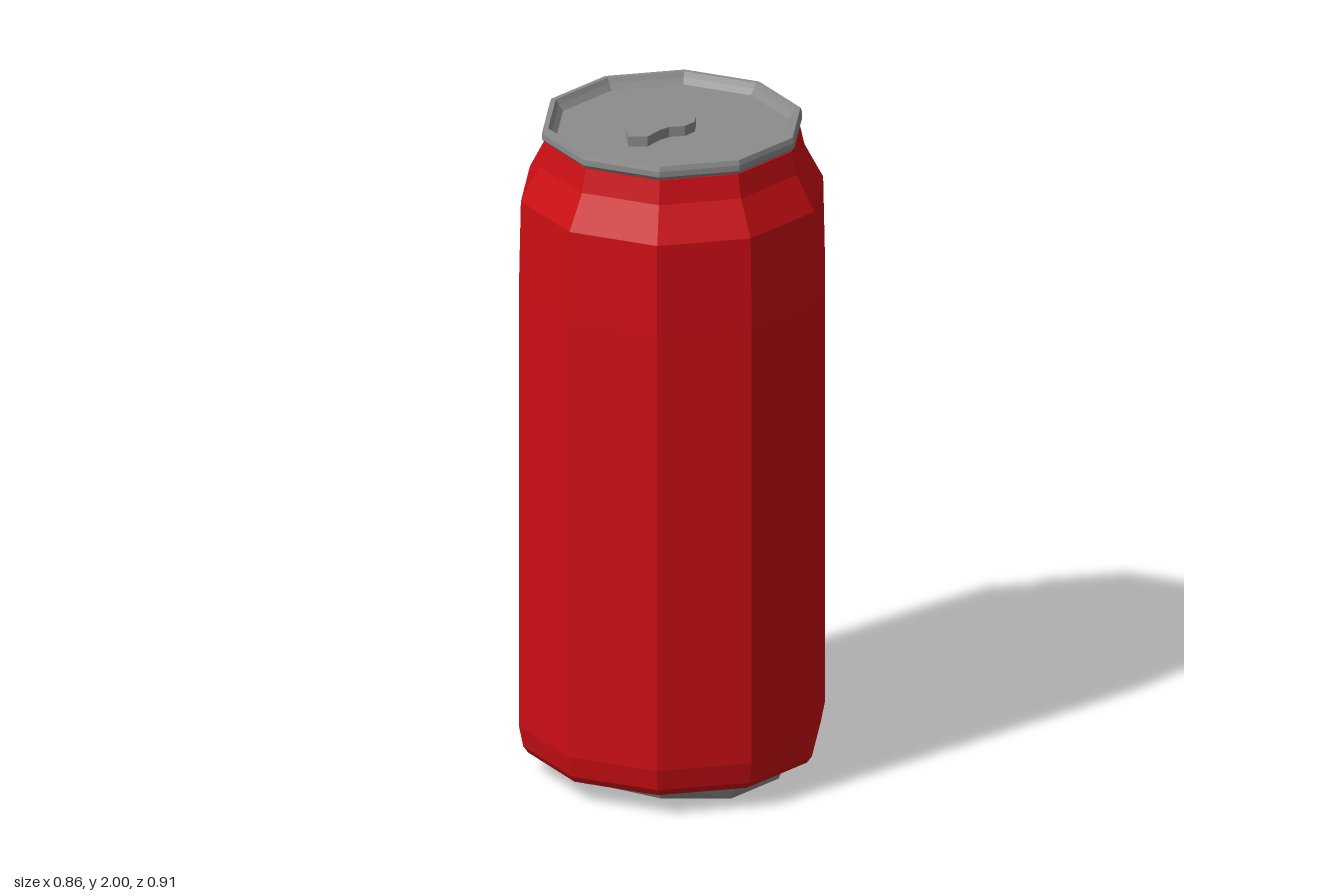
import * as THREE from 'three';

const SIDES = 10;
const red = new THREE.MeshStandardMaterial({ color: 0xcc0e14, flatShading: true });
const grey = new THREE.MeshStandardMaterial({ color: 0x8c8c8c, flatShading: true });

function addPart(group, name, geometry, material) {
  const flat = geometry.index ? geometry.toNonIndexed() : geometry;
  flat.computeVertexNormals();
  const mesh = new THREE.Mesh(flat, material);
  mesh.name = name;
  group.add(mesh);
}

// Ten-sided turned shape; profile is [radius, height] pairs, corners on the z axis
function turned(profile) {
  return new THREE.LatheGeometry(profile.map(([r, y]) => new THREE.Vector2(r, y)), SIDES);
}

export function createModel() {
  const can = new THREE.Group();
  can.name = 'drinkCan';

  // Painted wall: underside lip, bevel, straight wall, shoulder, neck
  addPart(can, 'body', turned([
    [0.35, 0.072], [0.425, 0.064], [0.44, 0.085], [0.453, 0.15], [0.453, 1.5],
    [0.447, 1.78], [0.392, 1.885], [0.376, 1.955], [0.365, 1.957],
  ]), red);

  // Rolled rim and sunken lid
  addPart(can, 'lid', turned([
    [0.365, 1.952], [0.375, 1.957], [0.385, 1.968], [0.385, 1.985], [0.38, 2],
    [0.366, 2], [0.357, 1.985], [0.343, 1.968], [0, 1.968],
  ]), grey);

  // Base with a hollow dome; its foot ring rises toward the front and back
  const base = turned([[0, 0.065], [0.2, 0.06], [0.3, 0.035], [0.315, 0], [0.336, 0], [0.362, 0.068]]);
  const p = base.attributes.position;
  for (let i = 0; i < p.count; i++) {
    if (p.getY(i) === 0) p.setY(i, 0.03 * Math.max(0, 1 - (p.getX(i) / 0.319) ** 2));
  }
  addPart(can, 'base', base, grey);

  // Pull tab: half outline as [x, z], mirrored
  const half = [[0.038, -0.062], [0.066, -0.024], [0.066, 0.019], [0.038, 0.055], [0.033, 0.09], [0.04, 0.152]];
  const outline = [[0, -0.075], ...half, [0, 0.19], ...half.map(([x, z]) => [-x, z]).reverse()];
  const tab = new THREE.ExtrudeGeometry(
    new THREE.Shape(outline.map(([x, z]) => new THREE.Vector2(x, -z))),
    { depth: 0.035, bevelEnabled: false });
  tab.rotateX(-Math.PI / 2).translate(0, 1.964, 0);
  addPart(can, 'pullTab', tab, grey);

  return can;
}
